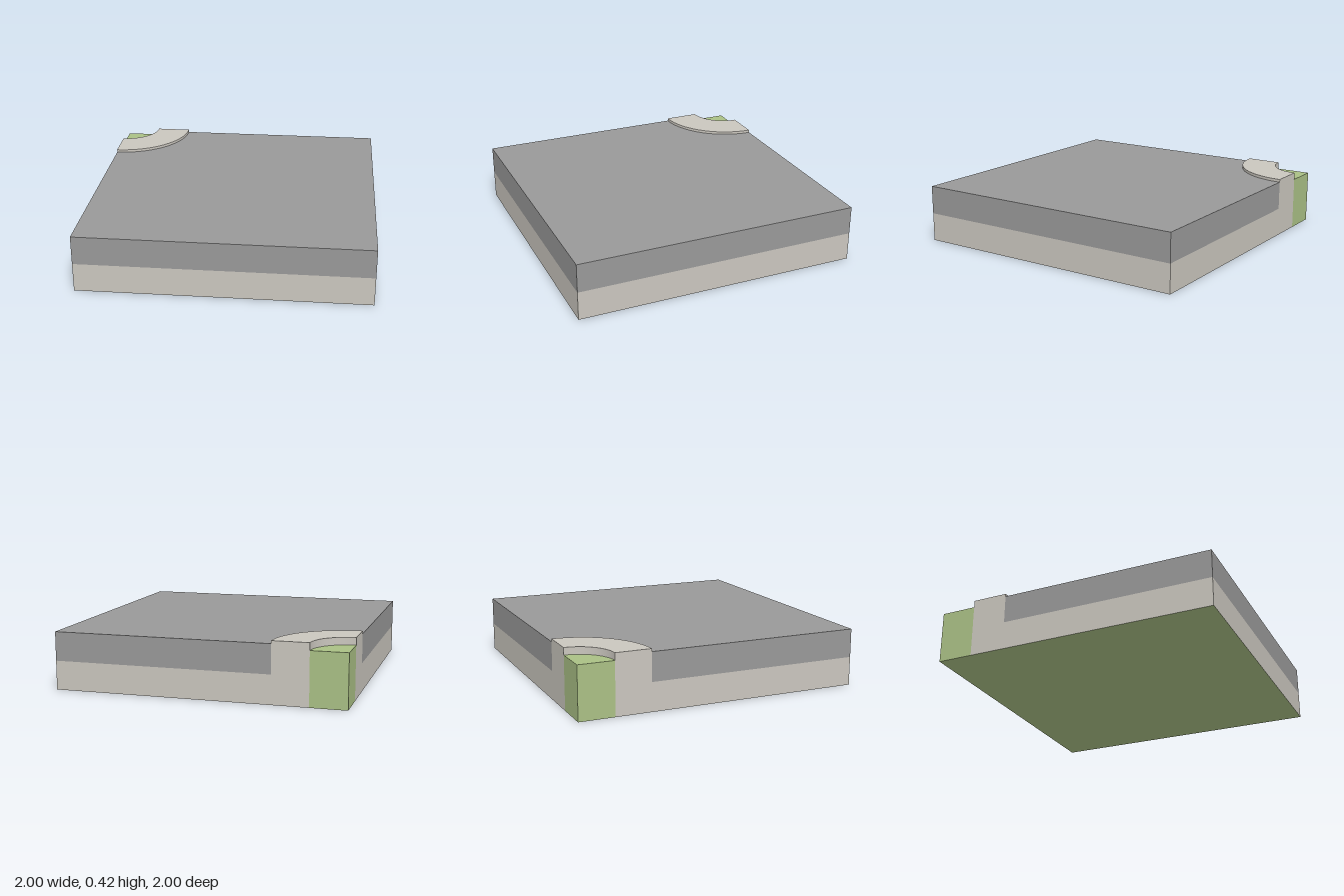
import * as THREE from 'three';
import { toCreasedNormals } from 'three/addons/utils/BufferGeometryUtils.js';

const OUTER = 0.5, INNER = 0.25; // curb radii around the back right corner
const CX = -1, CY = 1;           // that corner in plan (plan y is -z)

// Square tile with a quarter circle cut from the corner
function tileShape(r) {
  const s = new THREE.Shape();
  s.moveTo(-1, -1);
  s.lineTo(1, -1);
  s.lineTo(1, 1);
  s.lineTo(CX + r, CY);
  s.absarc(CX, CY, r, 0, -Math.PI / 2, true);
  s.closePath();
  return s;
}

// Quarter ring at the corner, or a quarter disc when the inner radius is 0
function sectorShape(inner, outer) {
  const s = new THREE.Shape();
  s.moveTo(CX, CY - outer);
  s.absarc(CX, CY, outer, -Math.PI / 2, 0, false);
  if (inner > 0) {
    s.lineTo(CX + inner, CY);
    s.absarc(CX, CY, inner, 0, -Math.PI / 2, true);
  } else {
    s.lineTo(CX, CY);
  }
  s.closePath();
  return s;
}

// Plan shape raised from y0 to y1, with smooth curved walls
function slab(name, shape, y0, y1, capMaterial, sideMaterial = capMaterial) {
  let geometry = new THREE.ExtrudeGeometry(shape, { depth: y1 - y0, bevelEnabled: false, curveSegments: 32 });
  geometry.rotateX(-Math.PI / 2);
  geometry.translate(0, y0, 0);
  geometry = toCreasedNormals(geometry, 0.5);
  const mesh = new THREE.Mesh(geometry, [capMaterial, sideMaterial]);
  mesh.name = name;
  return mesh;
}

function material(name, color) {
  const m = new THREE.MeshStandardMaterial({ color });
  m.name = name;
  return m;
}

export function createModel() {
  const asphalt = material('asphalt', 0x999999);
  const concrete = material('concrete', 0xcac6be);
  const grass = material('grass', 0xaac085);

  const group = new THREE.Group();
  group.name = 'roadCornerTile';
  group.add(
    // Concrete foundation with a green underside
    slab('foundation', tileShape(INNER), 0, 0.2, grass, concrete),
    // Road surface
    slab('road', tileShape(OUTER), 0.2, 0.4, asphalt),
    // Raised curved curb
    slab('curb', sectorShape(INNER, OUTER), 0.2, 0.42, concrete),
    // Grass corner, sunk just below the curb
    slab('grassCorner', sectorShape(0, INNER), 0, 0.37, grass)
  );
  return group;
}
